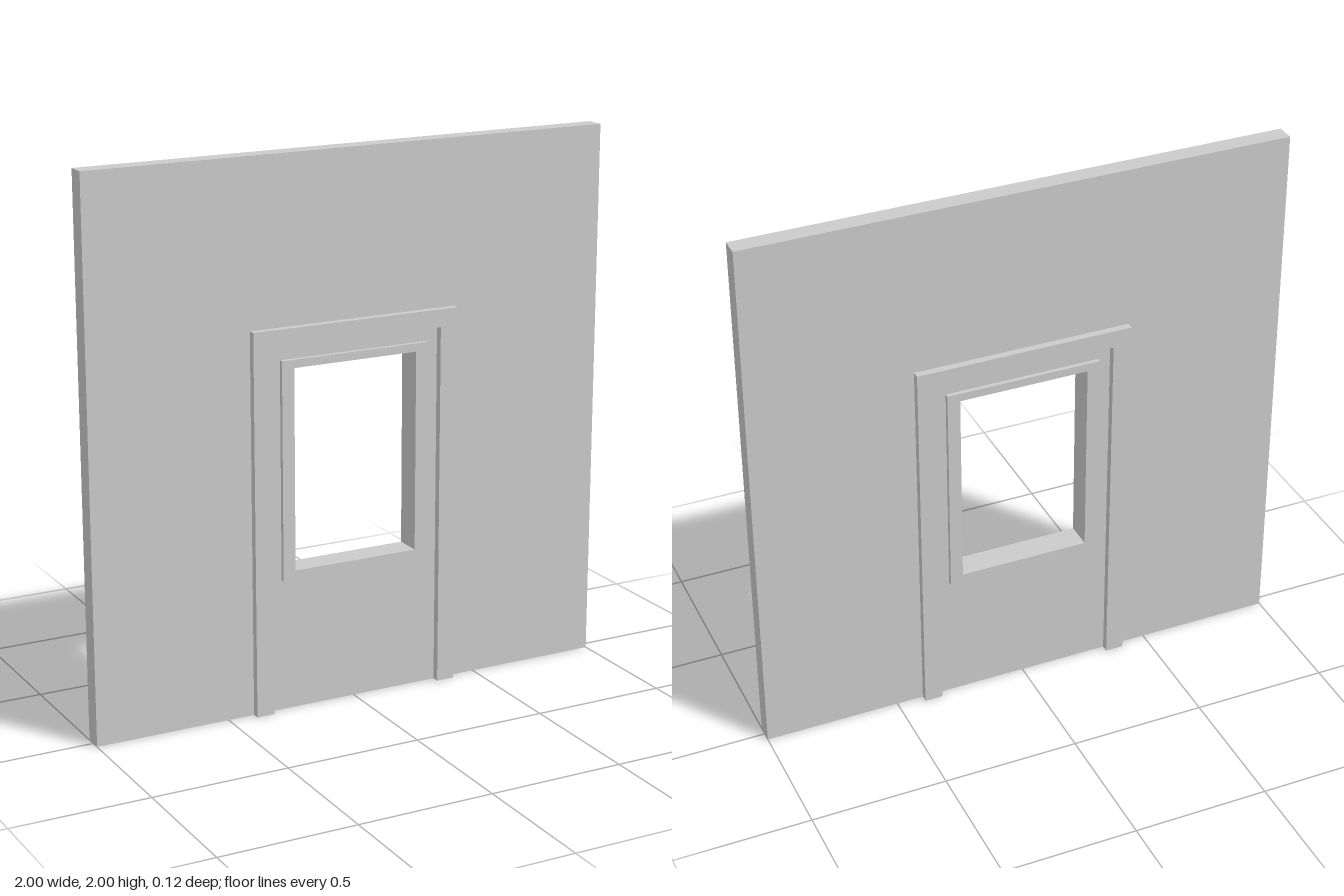
import * as THREE from 'three';

const WALL = 0.034;   // half thickness of the wall
const CASING = 0.061; // reach of the door casing from the centre plane
const FRAME = 0.05;   // reach of the window frame from the centre plane

// Closed outline of an upright rectangle, symmetric about x = 0
function rect(Outline, halfWidth, bottom, top) {
  const o = new Outline();
  o.moveTo(-halfWidth, bottom);
  o.lineTo(halfWidth, bottom);
  o.lineTo(halfWidth, top);
  o.lineTo(-halfWidth, top);
  o.closePath();
  return o;
}

export function createModel() {
  const model = new THREE.Group();
  const material = new THREE.MeshStandardMaterial({ color: 0xcccccc, flatShading: true });

  // Extrude a shape from z0 to z1
  function slab(name, shape, z0, z1) {
    const geometry = new THREE.ExtrudeGeometry(shape, { depth: z1 - z0, bevelEnabled: false });
    geometry.translate(0, 0, z0);
    const mesh = new THREE.Mesh(geometry, material);
    mesh.name = name;
    model.add(mesh);
  }

  const opening = () => rect(THREE.Path, 0.24, 0.52, 1.255);

  // Wall with the window opening
  const wall = rect(THREE.Shape, 1, 0, 2);
  wall.holes.push(opening());
  slab('wall', wall, -WALL, WALL);

  // Door casing: two posts and a head, open at the floor
  const casing = new THREE.Shape([
    [-0.4, 0], [-0.333, 0], [-0.333, 1.335], [0.333, 1.335],
    [0.333, 0], [0.4, 0], [0.4, 1.4], [-0.4, 1.4],
  ].map(([x, y]) => new THREE.Vector2(x, y)));

  // Window frame around the opening
  const frame = rect(THREE.Shape, 0.287, 0.487, 1.285);
  frame.holes.push(opening());

  // Same trim on both faces of the wall
  slab('frontDoorCasing', casing, WALL, CASING);
  slab('backDoorCasing', casing, -CASING, -WALL);
  slab('frontWindowFrame', frame, WALL, FRAME);
  slab('backWindowFrame', frame, -FRAME, -WALL);

  return model;
}
